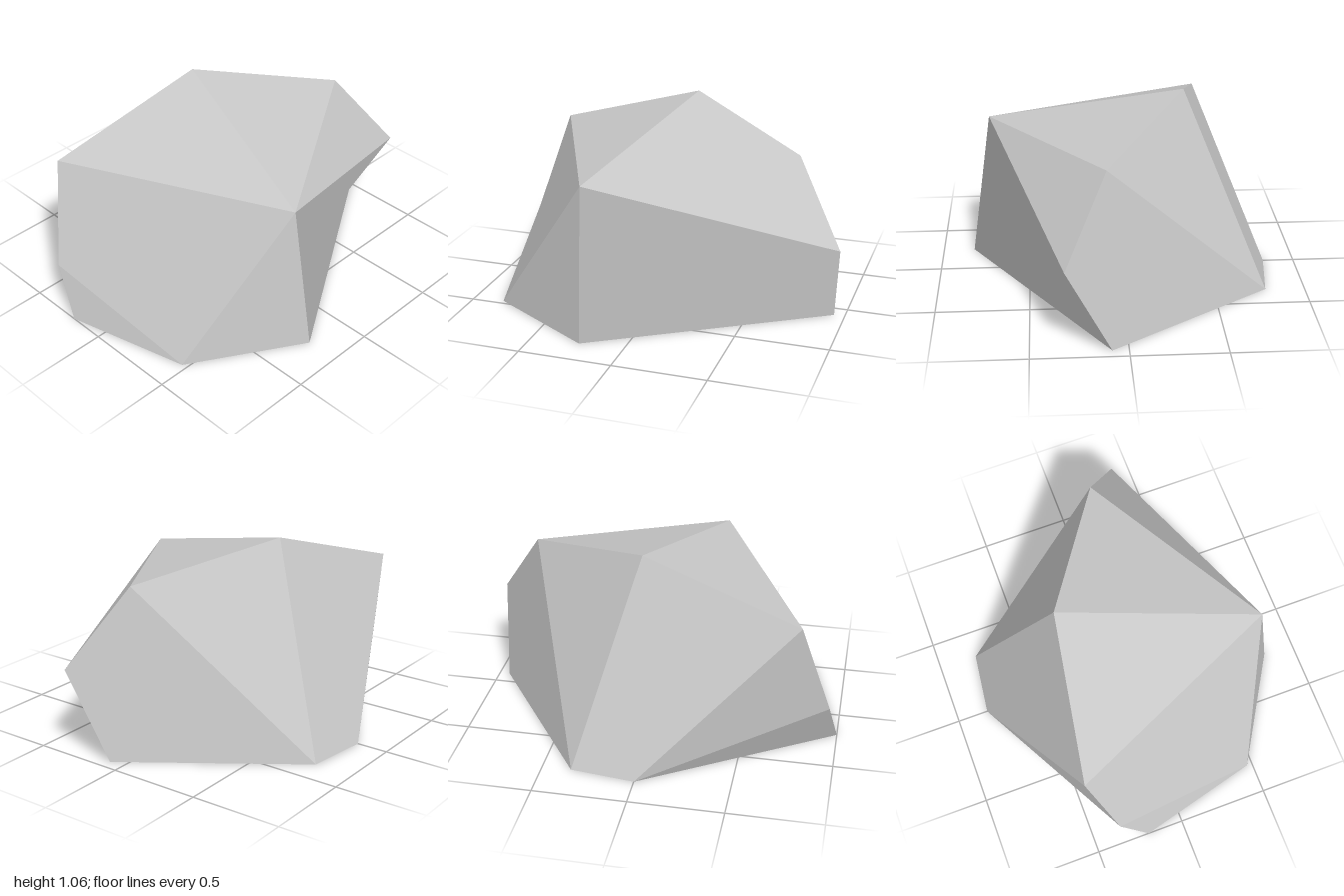
import * as THREE from 'three';

// Flat facets from named corners: each is fanned from its first corner and shares one normal
function facetGeometry(corners, facets) {
  const positions = [], normals = [];
  for (const facet of facets) {
    const pts = [...facet].map((key) => new THREE.Vector3(...corners[key]));
    const normal = new THREE.Vector3();
    for (let i = 1; i < pts.length - 1; i++) {
      const a = pts[i].clone().sub(pts[0]), b = pts[i + 1].clone().sub(pts[0]);
      normal.add(a.cross(b));
      for (const p of [pts[0], pts[i], pts[i + 1]]) positions.push(p.x, p.y, p.z);
    }
    normal.normalize();
    for (let i = 0; i < (pts.length - 2) * 3; i++) normals.push(normal.x, normal.y, normal.z);
  }
  const geometry = new THREE.BufferGeometry();
  geometry.setAttribute('position', new THREE.Float32BufferAttribute(positions, 3));
  geometry.setAttribute('normal', new THREE.Float32BufferAttribute(normals, 3));
  return geometry;
}

export function createModel() {
  const group = new THREE.Group();
  group.name = 'rock';

  const stone = new THREE.MeshStandardMaterial({ color: 0xc8c8c8 });
  stone.name = 'stone grey';

  const corners = {
    // Flat base outline
    S: [-1, 0, -0.2], R: [-0.83, 0, 0.47], B: [-0.24, 0, 0.825],
    D: [0.942, 0, 0.085], E: [0.345, 0, -0.785], F: [0, 0, -0.828],
    // Flanks
    Q: [-0.957, 0.26, -0.355], C: [1, 0.47, 0.32],
    // Upper corners and the peak T
    P: [-0.8, 0.8, -0.49], A: [-0.26, 0.815, 0.71],
    V: [0.73, 0.887, 0.1], T: [0.045, 1.062, -0.345],
  };
  const facets = [
    'FEDBRS',                    // underside
    'ABDC', 'ARB', 'ACV',        // front
    'APQR', 'QSR',               // right flank
    'FSQ', 'FQP', 'TEFP',        // back
    'TVE', 'EVCD',               // left flank
    'AVT', 'ATP',                // top
  ];

  const boulder = new THREE.Mesh(facetGeometry(corners, facets), stone);
  boulder.name = 'boulder';
  group.add(boulder);

  return group;
}
